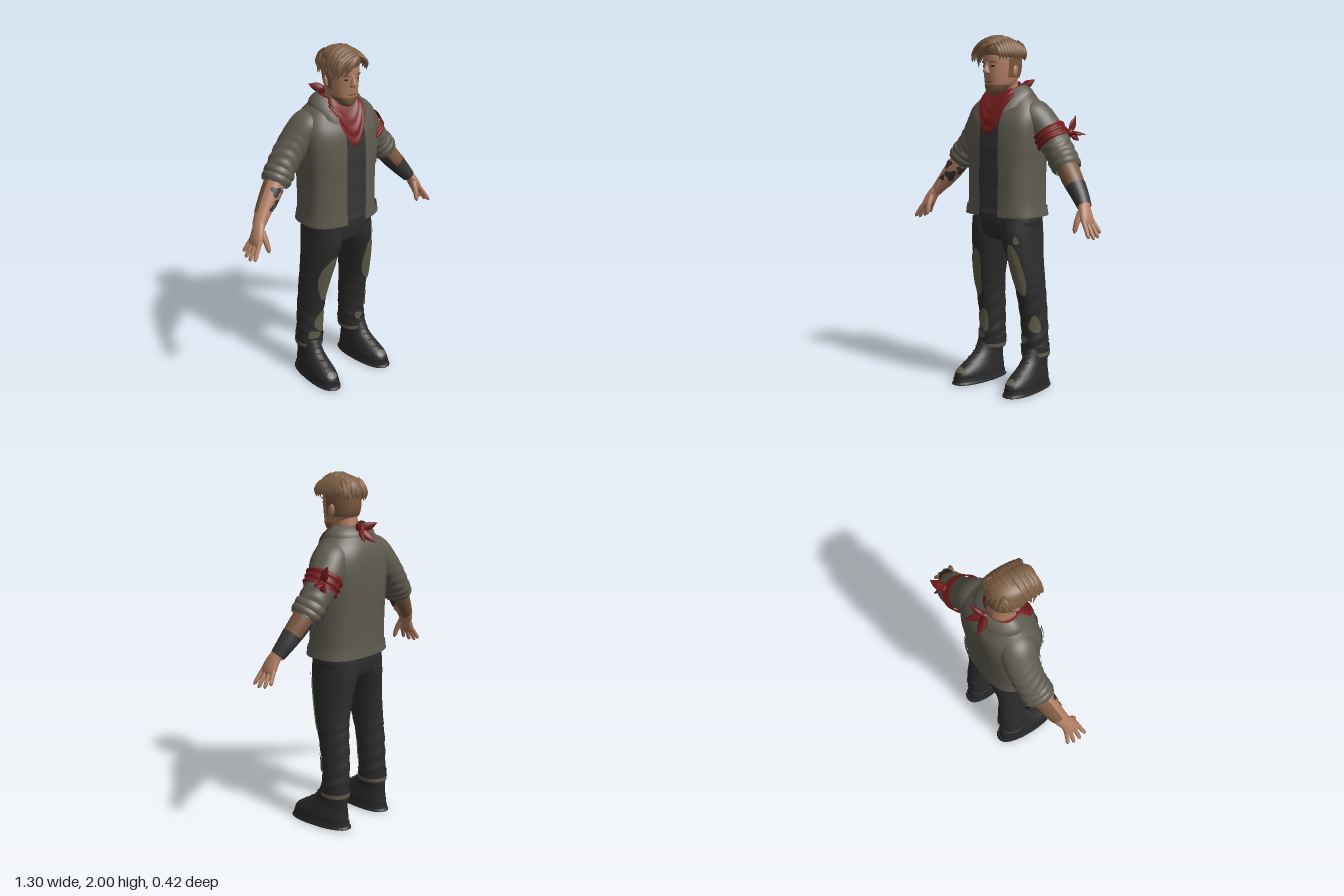
import * as THREE from 'three';
import { mergeVertices } from 'three/addons/utils/BufferGeometryUtils.js';

const V = (x, y, z) => new THREE.Vector3(x, y, z);
const PI = Math.PI, Z = V(0, 0, 1);
const colours = {
  jacket: 0x5e5b4f, trousers: 0x2d2d2e, shirt: 0x363637, boots: 0x29292a, skin: 0xb07d62,
  hair: 0x7d5e43, stubble: 0x7a583f, red: 0x741c1d, patch: 0x625d4b,
};

export function createModel() {
  const model = new THREE.Group();
  model.name = 'standingMan';
  const M = {};
  for (const [name, color] of Object.entries(colours)) {
    M[name] = new THREE.MeshStandardMaterial({ color, side: THREE.DoubleSide });
    M[name].name = name;
  }

  const add = (name, mat, geo, parent = model) => {
    const mesh = new THREE.Mesh(geo, mat);
    mesh.name = name;
    parent.add(mesh);
    return mesh;
  };

  // Smooth sheet from a rule fn(u, v), u and v in 0..1
  function grid(nu, nv, fn) {
    const pos = [], idx = [];
    for (let j = 0; j <= nv; j++) for (let i = 0; i <= nu; i++) pos.push(...fn(i / nu, j / nv).toArray());
    for (let j = 0; j < nv; j++) for (let i = 0; i < nu; i++) {
      const a = j * (nu + 1) + i, b = a + nu + 1;
      idx.push(a, b, a + 1, b, b + 1, a + 1);
    }
    const g = new THREE.BufferGeometry();
    g.setAttribute('position', new THREE.Float32BufferAttribute(pos, 3));
    g.setIndex(idx);
    const m = mergeVertices(g, 1e-5);
    m.computeVertexNormals();
    return m;
  }

  // Body surface through sections [x, y, z, radiusU, radiusV, squareness]; flat keeps sections level
  function surf(keys, flat) {
    const C = new THREE.CatmullRomCurve3(keys.map(k => V(k[0], k[1], k[2])), false, 'catmullrom', 0.5);
    const R = new THREE.CatmullRomCurve3(keys.map(k => V(k[3], k[4] ?? k[3], k[5] ?? 1)), false, 'catmullrom', 0.5);
    const pw = (v, p) => Math.sign(v) * Math.pow(Math.abs(v), p);
    return {
      size: t => R.getPoint(t),
      at(a, t, off = 0) {
        const c = C.getPoint(t), r = R.getPoint(t);
        let U = V(1, 0, 0), W = Z;
        if (!flat) {
          const T = C.getTangent(t);
          U = T.clone().cross(Z).normalize();
          W = U.clone().cross(T);
        }
        return c.addScaledVector(U, pw(Math.cos(a), r.z) * Math.max(r.x + off, 0.0005))
          .addScaledVector(W, pw(Math.sin(a), r.z) * Math.max(r.y + off, 0.0005));
      },
      t(y) {
        let lo = 0, hi = 1;
        const up = keys[keys.length - 1][1] > keys[0][1];
        for (let i = 0; i < 24; i++) {
          const m = (lo + hi) / 2;
          if ((C.getPoint(m).y < y) === up) lo = m; else hi = m;
        }
        return (lo + hi) / 2;
      },
    };
  }
  const num = (f, ...a) => (typeof f === 'function' ? f(...a) : f);
  function loft(name, mat, S, o = {}, parent = model) {
    const { a0 = 0, a1 = 2 * PI, t0 = 0, t1 = 1, off = 0, nu = 28, nv = 28 } = o;
    return add(name, mat, grid(nu, nv, (u, v) => {
      const t = t0 + (t1 - t0) * v, s = num(a0, t), e = num(a1, t), a = s + (e - s) * u;
      return S.at(a, t, num(off, a, t));
    }), parent);
  }
  // Thin irregular disc lying on a surface, centred at angle (degrees) and height
  function disc(name, mat, S, deg, y, da, dy, off = 0.005, parent = model, rough = 0.12) {
    add(name, mat, grid(20, 3, (u, v) => {
      const q = 2 * PI * u, r = v * (1 + rough * Math.sin(3 * q + y * 40));
      return S.at(deg * PI / 180 + da * r * Math.cos(q), S.t(y + dy * r * Math.sin(q)), off);
    }), parent);
  }
  const limb = (name, mat, keys, parent, nu = 10, nv = 10) => loft(name, mat, surf(keys), { nu, nv }, parent);

  // Torso, shirt and open jacket
  const torso = surf([
    [0, 1.0, -0.02, 0.237, 0.165, 0.75], [0, 1.08, -0.02, 0.227, 0.162, 0.75], [0, 1.25, -0.025, 0.225, 0.166, 0.75],
    [0, 1.4, -0.03, 0.232, 0.17, 0.75], [0, 1.52, -0.036, 0.235, 0.164, 0.78], [0, 1.6, -0.045, 0.215, 0.14, 0.85],
    [0, 1.66, -0.042, 0.165, 0.11, 0.95], [0, 1.705, -0.035, 0.105, 0.085, 1]], true);
  const edge = (x, t) => {
    const r = torso.size(t);
    return Math.acos(Math.sign(x) * Math.pow(Math.min(Math.abs(x) / r.x, 0.9), 1 / r.z));
  };
  const leftEdge = t => edge(0.1, t) + 2 * PI, rightEdge = t => edge(-0.09, t);
  loft('shirt', M.shirt, torso, { t0: 0.03, t1: 0.95, off: (a, t) => -0.016 + 0.002 * Math.sin(t * 50 + 3 * Math.cos(a)), nu: 40 });
  loft('jacketBody', M.jacket, torso, {
    a0: rightEdge, a1: leftEdge, nu: 56, nv: 36, off: (a, t) => 0.003 * Math.sin(a * 7 + t * 5) * (1 - t),
  });
  loft('jacketHem', M.jacket, torso, { a0: rightEdge, a1: leftEdge, t0: 0, t1: torso.t(1.05), off: 0.007, nu: 56, nv: 4 });
  for (const s of [1, -1]) {
    const e = s > 0 ? leftEdge : rightEdge;
    loft('jacketPlacket', M.jacket, torso, { a0: t => e(t) - s * 0.02, a1: t => e(t) + s * 0.13, t1: 0.8, off: 0.008, nu: 4 });
    const mid = s > 0 ? 0.9 : PI - 0.9;
    loft('chestPocket', M.jacket, torso, { a0: mid - 0.22, a1: mid + 0.22, t0: torso.t(1.3), t1: torso.t(1.43), off: 0.006, nu: 8, nv: 6 });
    loft('pocketFlap', M.jacket, torso, { a0: mid - 0.25, a1: mid + 0.25, t0: torso.t(1.4), t1: torso.t(1.45), off: 0.013, nu: 8, nv: 3 });
  }
  add('jacketCollar', M.jacket, grid(36, 5, (u, v) => {
    const a = PI * (0.68 + 1.64 * u), f = Math.max(0, Math.sin(a)), r = 0.1 + 0.05 * v + 0.012 * Math.sin(v * PI);
    return V(Math.cos(a) * r * 1.08, 1.725 - 0.06 * v - f * (0.03 + 0.07 * v), -0.03 + Math.sin(a) * (r - 0.02) + f * 0.045 * v);
  }));

  // Hips and legs
  loft('hips', M.trousers, surf([
    [0, 0.85, -0.025, 0.06, 0.06], [0, 0.88, -0.025, 0.17, 0.13, 0.9], [0, 0.95, -0.025, 0.205, 0.15, 0.85],
    [0, 1.01, -0.025, 0.203, 0.148, 0.85], [0, 1.08, -0.025, 0.2, 0.14, 0.85]], true));
  const wrinkle = (a, t) => 0.0035 * Math.sin(t * 70 + 4 * Math.sin(a)) * Math.max(0, 1 - t * 1.5);
  for (const s of [1, -1]) {
    const leg = surf([
      [0.165, 0.185, -0.08, 0.066, 0.077], [0.16, 0.27, -0.08, 0.073, 0.082], [0.157, 0.4, -0.075, 0.072, 0.087],
      [0.152, 0.55, -0.055, 0.073, 0.1], [0.145, 0.64, -0.042, 0.076, 0.11], [0.128, 0.76, -0.03, 0.084, 0.128],
      [0.108, 0.88, -0.025, 0.098, 0.148], [0.1, 0.98, -0.025, 0.1, 0.148]].map(k => [s * k[0], ...k.slice(1)]), true);
    loft('trouserLeg', M.trousers, leg, { nv: 60, off: wrinkle });
    loft('trouserCuff', M.trousers, leg, { t1: leg.t(0.25), nv: 5, off: 0.008 });
    loft('cuffLining', M.patch, leg, { t0: leg.t(0.192), t1: leg.t(0.215), nv: 2, off: 0.011 });
    const spots = s > 0
      ? [[80, 0.69, 0.5, 0.145], [45, 0.38, 0.42, 0.05], [57, 0.87, 0.12, 0.022], [100, 0.29, 0.3, 0.025]]
      : [[97, 0.66, 0.5, 0.14], [85, 0.36, 0.45, 0.07], [110, 0.27, 0.5, 0.03]];
    for (const p of spots) disc('kneePatch', M.patch, leg, ...p, 0.007);

    // Boots, toes turned slightly out
    const boot = new THREE.Group();
    boot.name = 'boot';
    boot.position.x = s * 0.178;
    boot.rotation.y = s * 0.08;
    model.add(boot);
    const upper = surf([
      [0, 0.03, 0.015, 0.071, 0.184, 0.85], [0, 0.06, 0.014, 0.071, 0.183, 0.85], [0, 0.09, 0.002, 0.067, 0.17, 0.9],
      [0, 0.13, -0.03, 0.06, 0.137], [0, 0.175, -0.062, 0.058, 0.104], [0, 0.25, -0.08, 0.06, 0.08]], true);
    loft('bootUpper', M.boots, upper, {}, boot);
    const sole = surf([[0, 0, 0.016, 0.001, 0.001, 0.85], [0, 0.001, 0.016, 0.074, 0.188, 0.85],
      [0, 0.02, 0.016, 0.076, 0.192, 0.85], [0, 0.038, 0.016, 0.074, 0.19, 0.85]], true);
    loft('bootSole', M.boots, sole, { nv: 12 }, boot);
    disc('wornToe', M.patch, upper, 92, 0.085, 0.4, 0.014, 0.003, boot);
    for (let i = 0; i < 4; i++) {
      const y = 0.115 + i * 0.027, t = upper.t(y);
      add('lace', M.shirt, new THREE.TubeGeometry(new THREE.CatmullRomCurve3(
        [1.1, 1.57, 2.04].map(a => upper.at(a, t, 0.003))), 6, 0.004, 5), boot);
    }
  }

  // Arms
  for (const s of [1, -1]) {
    const flip = keys => keys.map(k => [s * k[0], ...k.slice(1)]);
    const sleeve = surf(flip([
      [0.13, 1.59, -0.05, 0.07, 0.09], [0.175, 1.555, -0.058, 0.087, 0.1], [0.218, 1.5, -0.072, 0.09, 0.098],
      [0.275, 1.43, -0.082, 0.084, 0.092], [0.335, 1.352, -0.08, 0.079, 0.088], [0.398, 1.272, -0.066, 0.066, 0.078]]));
    loft('jacketSleeve', M.jacket, sleeve, {
      nv: 60, off: (a, t) => 0.006 * Math.sin(t * 55 + 3 * Math.sin(a * 2)) * Math.max(0, t - 0.35),
    });
    for (const [t, off] of [[0.87, 0.008], [0.94, 0.01]])
      loft('rolledCuff', M.jacket, sleeve, { t0: t - 0.04, t1: Math.min(1, t + 0.06), nv: 8,
        off: (a, q) => off * Math.sin((q - t + 0.04) / 0.1 * PI) + 0.003 * Math.sin(3 * a) });
    const fore = surf(flip([
      [0.37, 1.31, -0.075, 0.052, 0.06], [0.43, 1.23, -0.055, 0.053, 0.058], [0.495, 1.15, -0.035, 0.043, 0.048],
      [0.55, 1.08, -0.012, 0.03, 0.038]]));
    loft('forearm', M.skin, fore);
    if (s > 0) {
      loft('tannedForearm', M.stubble, fore, { t0: 0.1, t1: 0.6, off: 0.003 });
      loft('armGuard', M.shirt, fore, { t0: 0.5, t1: 0.97, off: 0.005 });
      loft('armGuardInner', M.shirt, fore, { a0: -1.4, a1: 1, t0: 0.15, t1: 0.55, off: 0.005, nu: 12 });
      loft('armBand', M.red, sleeve, { t0: 0.49, t1: 0.66, nv: 16, off: (a, t) => 0.011 + 0.004 * Math.sin(t * 90 + 2 * Math.sin(a)) });
      const k = [0.345, 1.465, -0.15];
      for (const e of [[0.35, 1.555, -0.195], [0.43, 1.455, -0.18], [0.37, 1.42, -0.2]])
        limb('armBandTail', M.red, [[...k, 0.012], [...k.map((v, i) => (v + e[i]) / 2), 0.01, 0.026], [...e, 0.001]]);
      add('armBandKnot', M.red, new THREE.SphereGeometry(0.022, 10, 8)).position.set(...k);
    } else {
      loft('tannedForearm', M.stubble, fore, { a0: 3.4, a1: 6.4, t0: 0.1, t1: 0.75, off: 0.003 });
      for (const p of [[130, 1.2, 0.6, 0.025], [70, 1.235, 0.5, 0.02], [165, 1.245, 0.5, 0.018], [95, 1.165, 0.3, 0.015]])
        disc('tattoo', M.shirt, fore, ...p, 0.004, model, 0.3);
    }
    // Hand with four fingers and a thumb
    limb('palm', M.skin, flip([[0.538, 1.1, -0.015, 0.027, 0.034], [0.56, 1.065, 0.0, 0.027, 0.042],
      [0.582, 1.02, 0.01, 0.024, 0.05], [0.597, 0.992, 0.014, 0.014, 0.046], [0.602, 0.985, 0.014, 0.001]]), model, 16, 14);
    [[0.048, 0.07, 0.95], [0.023, 0.032, 1.05], [-0.003, -0.008, 1], [-0.026, -0.042, 0.8]].forEach(([z0, z1, l]) =>
      limb('finger', M.skin, flip([[0.582, 1.02, z0, 0.012], [0.582 + 0.03 * l, 1.02 - 0.045 * l, (z0 + z1) / 2, 0.012],
        [0.582 + 0.054 * l, 1.02 - 0.085 * l, z1, 0.01], [0.582 + 0.058 * l, 1.02 - 0.096 * l, z1, 0.001]])));
    limb('thumb', M.skin, flip([[0.55, 1.06, 0.025, 0.018], [0.546, 1.01, 0.052, 0.016],
      [0.542, 0.965, 0.066, 0.012], [0.541, 0.948, 0.07, 0.001]]));
  }

  // Neck and neckerchief
  loft('neck', M.skin, surf([[0, 1.58, -0.03, 0.085, 0.08], [0, 1.66, -0.025, 0.065, 0.07], [0, 1.78, -0.005, 0.062, 0.07]], true));
  add('neckerchief', M.red, grid(48, 18, (u, v) => {
    const a = 2 * PI * u, sn = Math.sin(a), f = Math.max(0, sn) ** 2.5;
    const fold = 0.005 * Math.sin(v * 22 + 2 * Math.cos(a)) * v;
    const rz = sn > 0 ? 0.08 + 0.085 * Math.sin(v * PI / 2) : 0.09 + 0.02 * v;
    const top = 1.715 - 0.04 * f, low = 1.665 - 0.21 * f;
    return V(Math.cos(a) * (0.088 + 0.03 * v + fold), top + (low - top) * v,
      -0.015 + Math.sign(sn) * Math.abs(sn) ** 0.7 * (rz + fold));
  }));
  const knot = [0.01, 1.7, -0.125];
  add('neckerchiefKnot', M.red, new THREE.SphereGeometry(0.026, 12, 8)).position.set(...knot);
  for (const e of [[-0.065, 1.735, -0.185], [0.085, 1.75, -0.165], [0.07, 1.65, -0.205], [-0.035, 1.63, -0.205]])
    limb('neckerchiefTail', M.red, [[...knot, 0.014], [...knot.map((v, i) => (v + e[i]) / 2), 0.024, 0.014], [...e, 0.001]]);

  // Head, turned a little to its right
  const head = new THREE.Group();
  head.name = 'head';
  head.rotation.y = -0.1;
  model.add(head);
  const skull = surf([
    [0, 1.668, 0.08, 0.015, 0.02], [0, 1.68, 0.072, 0.038, 0.045], [0, 1.705, 0.052, 0.058, 0.072, 0.9], [0, 1.74, 0.032, 0.074, 0.094, 0.9],
    [0, 1.79, 0.02, 0.082, 0.112, 0.92], [0, 1.85, 0.018, 0.086, 0.117, 0.92], [0, 1.9, 0.018, 0.084, 0.113, 0.95],
    [0, 1.95, 0.015, 0.066, 0.085], [0, 1.975, 0.01, 0.005, 0.005]], true);
  loft('face', M.skin, skull, { nu: 36, nv: 36 }, head);
  loft('jawStubble', M.stubble, skull, { a0: -0.15, a1: PI + 0.15, t1: skull.t(1.725), off: 0.002, nv: 10 }, head);
  loft('shavedSides', M.stubble, skull, { a0: PI - 0.25, a1: 2 * PI + 0.25, t0: skull.t(1.765), t1: skull.t(1.91), off: 0.004 }, head);
  for (const s of [1, -1]) {
    disc('eye', M.boots, skull, 90 - s * 24, 1.828, 0.14, 0.005, 0.003, head, 0);
    disc('eyebrow', M.hair, skull, 90 - s * 25, 1.85, 0.24, 0.007, 0.006, head, 0);
    const ear = add('ear', M.skin, new THREE.SphereGeometry(1, 12, 10), head);
    ear.scale.set(0.012, 0.034, 0.021);
    ear.position.set(s * 0.088, 1.8, 0.005);
    ear.rotation.set(-0.2, s * 0.3, 0);
  }
  disc('mouth', M.stubble, skull, 90, 1.742, 0.3, 0.005, 0.004, head, 0);
  loft('nose', M.skin, surf([[0, 1.782, 0.125, 0.012, 0.01], [0, 1.79, 0.13, 0.019, 0.024], [0, 1.805, 0.132, 0.015, 0.028],
    [0, 1.83, 0.128, 0.01, 0.018], [0, 1.858, 0.126, 0.01, 0.008]], true), { nu: 12, nv: 12 }, head);

  // Hair: a base volume covered with swept locks
  loft('hairBase', M.hair, surf([
    [0, 1.885, 0.015, 0.07, 0.09], [-0.002, 1.878, 0.016, 0.095, 0.113], [-0.004, 1.925, 0.022, 0.097, 0.122],
    [-0.006, 1.96, 0.026, 0.08, 0.102], [-0.006, 1.98, 0.026, 0.045, 0.06], [-0.006, 1.987, 0.026, 0.001]], true), {}, head);
  const rnd = k => { const q = Math.sin(k * 12.9898) * 43758.5453; return q - Math.floor(q); };
  for (let i = 0; i < 20; i++) {
    const z = -0.08 + i * 0.0105, d = Math.sqrt(1 - ((z - 0.025) / 0.15) ** 2), w = 0.6 + 0.4 * d, j = (rnd(i) - 0.5) * 0.02;
    limb('sweptLock', M.hair, [[0.055 * w, 1.87 + 0.095 * d, z, 0.004], [0.01, 1.875 + (0.108 + j * 0.4) * d, z + 0.012, 0.011, 0.014],
      [-0.065 * w, 1.87 + (0.09 + j) * d, z + 0.022, 0.012, 0.016], [-0.106 * w, 1.895 + j, z + 0.028, 0.009, 0.012],
      [-0.108 * w + j, 1.85 + j, z + 0.032, 0.001]], head, 7);
    if (i % 2) limb('sideLock', M.hair, [[0.035, 1.87 + 0.105 * d, z, 0.006], [0.075 * w, 1.87 + 0.08 * d, z + 0.005, 0.011, 0.015],
      [0.102 * w, 1.9, z + 0.006, 0.009, 0.014], [0.1 * w, 1.865 + j, z + 0.004, 0.001]], head, 7);
  }
  for (let i = 0; i < 7; i++) {
    const x = -0.065 + i * 0.021, j = (rnd(i + 50) - 0.5) * 0.02, dz = 0.25 * Math.abs(x);
    limb('backLock', M.hair, [[x, 1.965, -0.04, 0.006], [x * 1.1, 1.935, -0.085 + dz, 0.015, 0.011],
      [x * 1.2 + j, 1.89, -0.102 + dz, 0.014, 0.01], [x * 1.2 + j, 1.855 + j, -0.1 + dz, 0.001]], head, 7);
    limb('fringeLock', M.hair, [[0.05 - i * 0.012, 1.95, 0.1, 0.006], [0.02 - i * 0.014, 1.945, 0.14 - i * 0.002, 0.013, 0.013],
      [-0.02 - i * 0.012, 1.91 + j, 0.152 - i * 0.005, 0.013, 0.012],
      [-0.045 - i * 0.011, 1.865 - i * 0.008 + j, 0.146 - i * 0.009, 0.001]], head, 7);
  }
  return model;
}
